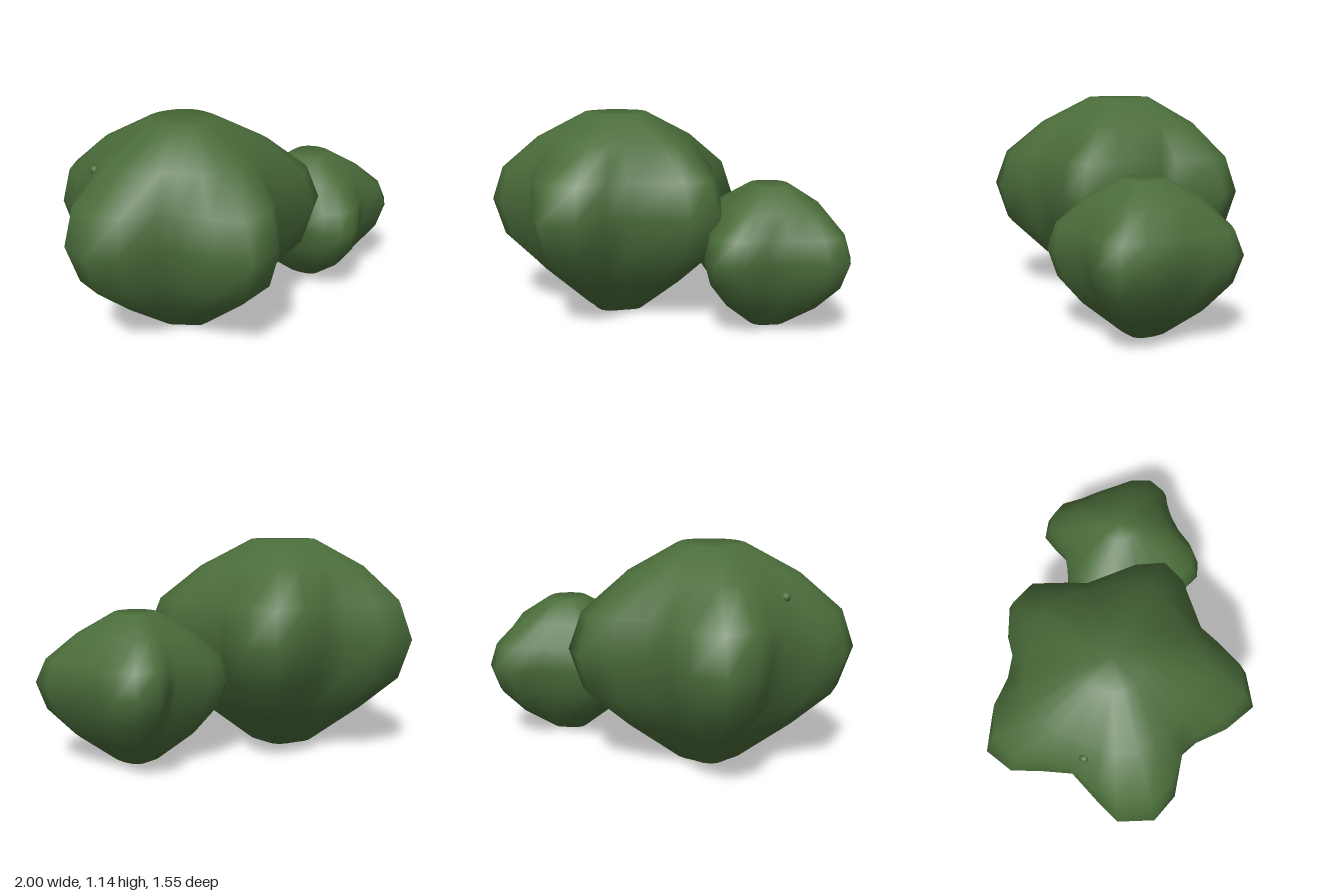
import * as THREE from 'three';

const leafGreen = new THREE.MeshStandardMaterial({ color: 0x4a6c3a });
leafGreen.name = 'leafGreen';

// Lobed clump: a star outline scaled up a profile; grooves fade towards the ends.
// outline: [x, z] pairs; profile rows: [y, scale, groove depth 0..1]; full: radius without grooves
function lobedClump(name, cx, cz, outline, profile, full) {
  const n = outline.length, pos = [], index = [];
  for (const [y, scale, groove] of profile) {
    for (const [x, z] of outline) {
      const dx = x - cx, dz = z - cz, r = Math.hypot(dx, dz);
      const k = scale * THREE.MathUtils.lerp(full, r, groove) / r;
      pos.push(cx + dx * k, y, cz + dz * k);
    }
  }
  const rows = profile.length;
  for (let j = 0; j < rows - 1; j++) {
    for (let i = 0; i < n; i++) {
      const a = j * n + i, b = j * n + (i + 1) % n;
      index.push(a, a + n, b, b, a + n, b + n);
    }
  }
  // slightly sunken caps
  const bottom = rows * n, top = bottom + 1, last = (rows - 1) * n;
  pos.push(cx, profile[0][0] + 0.015, cz, cx, profile[rows - 1][0] - 0.015, cz);
  for (let i = 0; i < n; i++) {
    const next = (i + 1) % n;
    index.push(bottom, i, next, top, last + next, last + i);
  }
  const geometry = new THREE.BufferGeometry();
  geometry.setAttribute('position', new THREE.Float32BufferAttribute(pos, 3));
  geometry.setIndex(index);
  geometry.computeVertexNormals();
  const mesh = new THREE.Mesh(geometry, leafGreen);
  mesh.name = name;
  return mesh;
}

export function createModel() {
  const group = new THREE.Group();
  group.name = 'bushes';

  // large bush with five lobes
  const largeOutline = [
    [-0.17, -0.68], [-0.02, -0.63], [0.05, -0.39], [0.07, -0.3], [0.32, -0.11], [0.42, 0.04],
    [0.34, 0.18], [0.07, 0.36], [0.04, 0.5], [-0.01, 0.67], [-0.17, 0.77], [-0.34, 0.68],
    [-0.47, 0.56], [-0.57, 0.51], [-0.77, 0.56], [-0.92, 0.51], [-1, 0.34], [-0.95, 0.21],
    [-0.87, 0.03], [-0.92, -0.12], [-0.98, -0.27], [-0.94, -0.43], [-0.76, -0.49],
    [-0.58, -0.46], [-0.46, -0.49], [-0.33, -0.61],
  ];
  group.add(lobedClump('largeBush', -0.35, 0.04, largeOutline, [
    [0, 0.24, 0.4], [0.23, 0.63, 0.8], [0.42, 0.91, 1], [0.63, 1, 1],
    [0.82, 0.91, 0.75], [1, 0.62, 0.3], [1.145, 0.24, 0.1],
  ], 0.74));

  // small bush with four lobes
  const smallOutline = [
    [0.5, -0.78], [0.6, -0.75], [0.67, -0.64], [0.76, -0.55], [0.94, -0.4], [1, -0.29],
    [0.95, -0.18], [0.77, -0.08], [0.7, 0], [0.65, 0.12], [0.6, 0.17], [0.51, 0.2],
    [0.41, 0.16], [0.34, 0.05], [0.24, -0.06], [0.05, -0.18], [0, -0.29], [0.04, -0.4],
    [0.12, -0.47], [0.3, -0.56], [0.34, -0.64], [0.39, -0.75],
  ];
  group.add(lobedClump('smallBush', 0.49, -0.29, smallOutline, [
    [0.01, 0.23, 0.4], [0.15, 0.63, 0.8], [0.29, 0.9, 1], [0.43, 1, 1],
    [0.55, 0.9, 0.75], [0.68, 0.59, 0.3], [0.785, 0.22, 0.1],
  ], 0.5));

  // tiny bud on the large bush
  const bud = new THREE.Mesh(new THREE.SphereGeometry(0.025, 10, 8), leafGreen);
  bud.name = 'bud';
  bud.position.set(-0.81, 0.92, 0.09);
  group.add(bud);

  return group;
}
